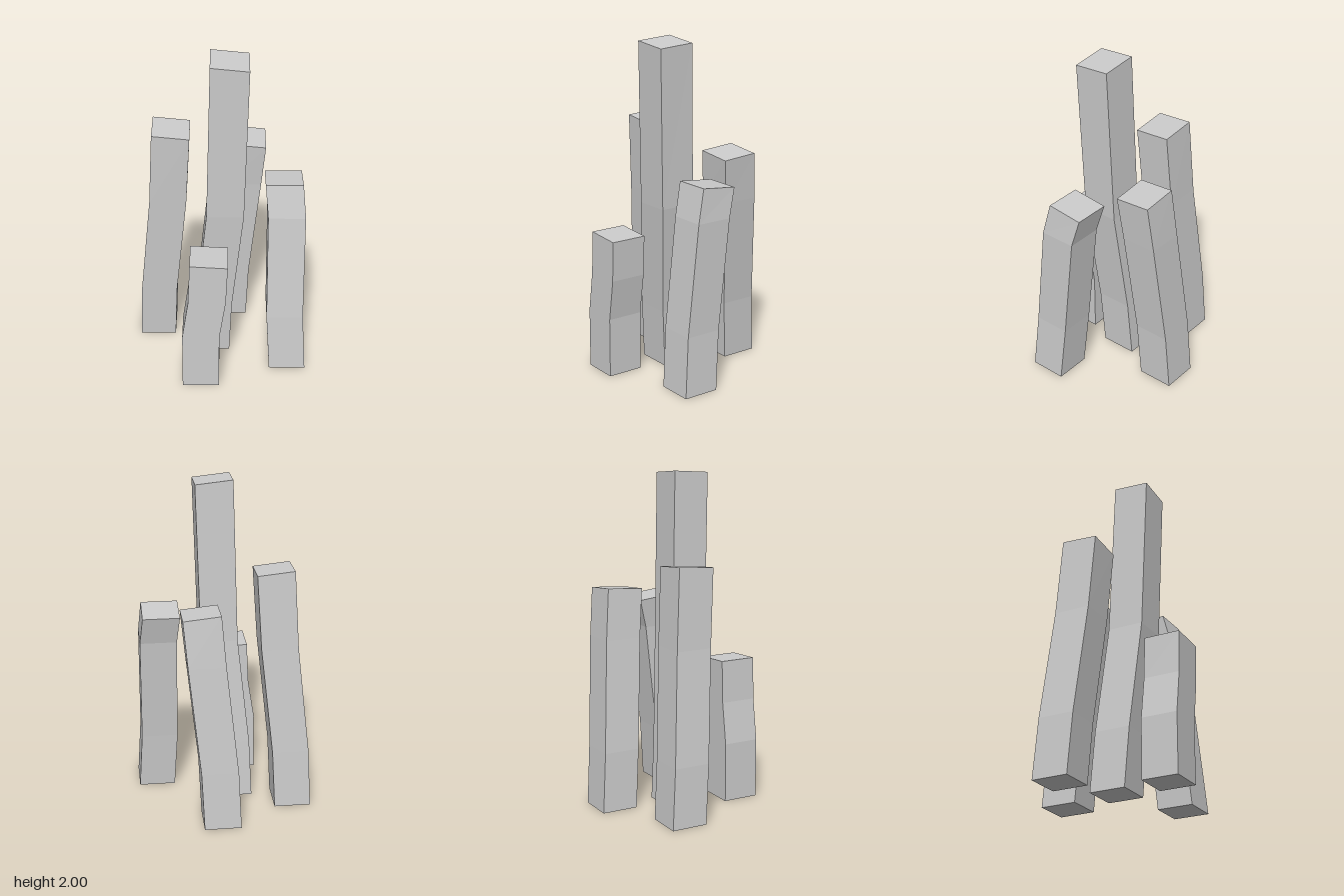
import * as THREE from 'three';

const SIDE = 0.22;
const material = new THREE.MeshStandardMaterial({ color: 0xcccccc, flatShading: true });

// Square column bent through four levels; each level is [centreX, y, centreZ].
// tiltX and tiltZ slope the top face.
function bentColumn(name, levels, tiltX, tiltZ) {
  const box = new THREE.BoxGeometry(SIDE, 3, SIDE, 1, 3, 1);
  const pos = box.attributes.position;
  for (let i = 0; i < pos.count; i++) {
    const level = Math.round(pos.getY(i) + 1.5);
    const [cx, y, cz] = levels[level];
    const dx = pos.getX(i), dz = pos.getZ(i);
    const slope = level === 3 ? dx * tiltX + dz * tiltZ : 0;
    pos.setXYZ(i, cx + dx, y + slope, cz + dz);
  }
  const geometry = box.toNonIndexed();
  geometry.computeVertexNormals();
  const mesh = new THREE.Mesh(geometry, material);
  mesh.name = name;
  return mesh;
}

// Three columns share the same lean to the left and front.
function leaningLevels(x, z, height) {
  return [
    [x, 0, z],
    [x + 0.015, 0.36, z + 0.023],
    [x + 0.083, 1.02, z + 0.072],
    [x + 0.108, height, z + 0.1],
  ];
}

export function createModel() {
  const group = new THREE.Group();
  group.name = 'columnCluster';

  group.add(
    bentColumn('tallCentreColumn', leaningLevels(-0.063, 0.012, 1.982), -0.1, -0.07),
    bentColumn('rightColumn', leaningLevels(-0.405, -0.152, 1.477), -0.1, -0.07),
    bentColumn('backColumn', leaningLevels(0.046, -0.37, 1.307), -0.1, -0.07),
    // Column leaning backward
    bentColumn('leftColumn', [
      [0.402, 0, 0.2], [0.382, 0.36, 0.17], [0.382, 1.02, 0.098], [0.365, 1.205, 0.052],
    ], 0, 0.11),
    // Short column leaning sideways only
    bentColumn('shortFrontColumn', [
      [-0.125, 0, 0.37], [-0.123, 0.36, 0.37], [-0.085, 0.61, 0.37], [-0.074, 0.858, 0.37],
    ], -0.06, 0),
  );
  return group;
}
